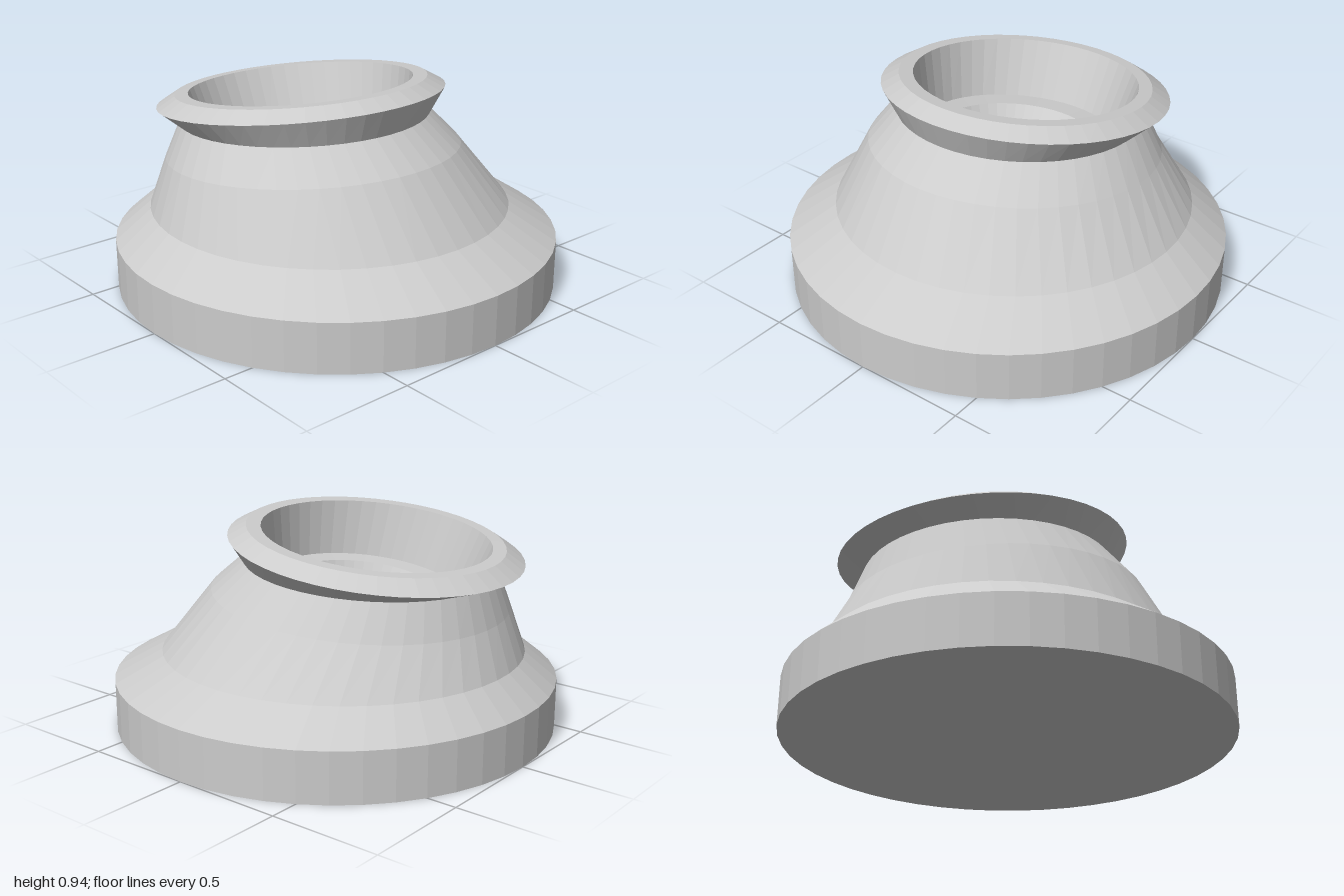
import * as THREE from 'three';

const SIDES = 48;

// Skin a run of rings [centreX, centreY, centreZ, radius, slopeAlongX], listed bottom to top on the outside
function loft(name, rings, material) {
  const pos = [], index = [];
  for (const [cx, cy, cz, r, slope] of rings) {
    for (let i = 0; i < SIDES; i++) {
      const a = (i / SIDES) * Math.PI * 2;
      const dx = r * Math.cos(a);
      pos.push(cx + dx, cy + slope * dx, cz + r * Math.sin(a));
    }
  }
  for (let k = 0; k < rings.length - 1; k++) {
    for (let i = 0; i < SIDES; i++) {
      const j = (i + 1) % SIDES;
      const a = k * SIDES + i, b = k * SIDES + j;
      const c = a + SIDES, d = b + SIDES;
      if (rings[k][3] > 0) index.push(a, c, b);
      if (rings[k + 1][3] > 0) index.push(b, c, d);
    }
  }
  const geometry = new THREE.BufferGeometry();
  geometry.setAttribute('position', new THREE.Float32BufferAttribute(pos, 3));
  geometry.setIndex(index);
  geometry.computeVertexNormals();
  const mesh = new THREE.Mesh(geometry, material);
  mesh.name = name;
  return mesh;
}

export function createModel() {
  const group = new THREE.Group();
  group.name = 'tiltedSteppedPedestal';
  const material = new THREE.MeshStandardMaterial({ color: 0xcccccc, flatShading: true });

  // Shared seams between parts
  const baseTop = [0, 0.225, 0, 1, 0];
  const neck = [-0.16, 0.735, 0.05, 0.565, 0.062];
  const rimInner = [-0.195, 0.87, 0.045, 0.508, 0.123];

  // Round plinth with closed underside
  group.add(loft('base', [[0, 0, 0, 0, 0], [0, 0, 0, 1, 0], baseTop], material));

  // Leaning body that narrows to the neck
  group.add(loft('body', [
    baseTop,
    [-0.045, 0.35, 0, 0.816, 0],
    [-0.11, 0.59, 0.042, 0.668, 0.075],
    neck,
  ], material));

  // Flared, tilted lip
  group.add(loft('lip', [
    neck,
    [-0.193, 0.82, 0.045, 0.652, 0.124],
    [-0.192, 0.87, 0.045, 0.57, 0.123],
    rimInner,
  ], material));

  // Stepped hollow going down to a small floor
  group.add(loft('steppedBowl', [
    rimInner,
    [-0.14, 0.62, 0.045, 0.445, 0.14],
    [-0.125, 0.615, 0.045, 0.355, 0.14],
    [-0.09, 0.455, 0.045, 0.255, 0.14],
    [-0.09, 0.455, 0.043, 0.172, 0.14],
    [-0.072, 0.355, 0.045, 0.11, 0.14],
    [-0.072, 0.355, 0.045, 0, 0.14],
  ], material));

  return group;
}
